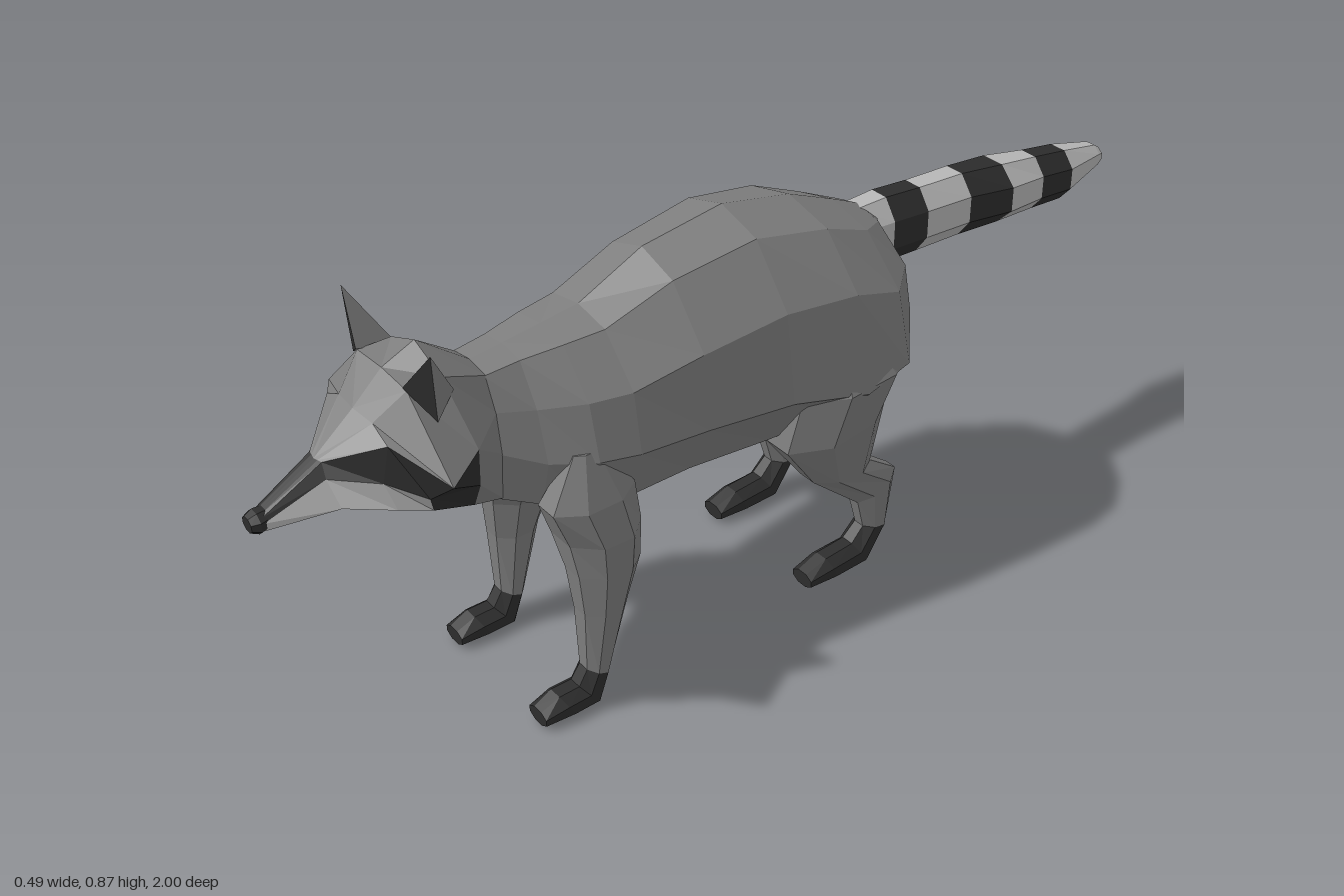
import * as THREE from 'three';

const GREY = 0x7e7e7e, DARK = 0x2d2d2d, LIGHT = 0xb8b8b8;
const material = (color) => new THREE.MeshStandardMaterial({ color, flatShading: true });

// Skins closed rings of [x, y, z] points, capped at both ends; one mesh per colour.
function loft(name, rings, colorAt = () => GREY) {
  const n = rings[0].length, last = rings.length - 1, tris = [];
  const centre = (ring) => [0, 1, 2].map((k) => ring.reduce((s, p) => s + p[k], 0) / n);
  for (let j = 0; j < n; j++) {
    const m = (j + 1) % n;
    const band = Math.min(j, n - 1 - j);
    for (let i = 0; i < last; i++) {
      const a = rings[i][j], b = rings[i][m], c = rings[i + 1][m], d = rings[i + 1][j];
      const color = colorAt(i, band);
      // mirrored diagonals keep both halves symmetrical
      if (j < n / 2) tris.push([color, a, b, c], [color, a, c, d]);
      else tris.push([color, a, b, d], [color, b, c, d]);
    }
    tris.push([colorAt(0, band), centre(rings[0]), rings[0][m], rings[0][j]]);
    tris.push([colorAt(last - 1, band), centre(rings[last]), rings[last][j], rings[last][m]]);
  }
  return solid(name, tris);
}

// Turns coloured triangles of a closed shape outward and builds the meshes.
function solid(name, tris) {
  const group = new THREE.Group();
  group.name = name;
  const v = (p) => new THREE.Vector3(...p);
  const volume = tris.reduce((s, [, a, b, c]) => s + v(a).dot(v(b).cross(v(c))), 0);
  const byColor = new Map();
  for (const [color, a, b, c] of tris) {
    if (!byColor.has(color)) byColor.set(color, []);
    byColor.get(color).push(...(volume > 0 ? [a, b, c] : [a, c, b]).flat());
  }
  const suffix = { [GREY]: 'Fur', [DARK]: 'DarkFur', [LIGHT]: 'LightFur' };
  for (const [color, positions] of byColor) {
    const geometry = new THREE.BufferGeometry();
    geometry.setAttribute('position', new THREE.Float32BufferAttribute(positions, 3));
    geometry.computeVertexNormals();
    const mesh = new THREE.Mesh(geometry, material(color));
    mesh.name = name + suffix[color];
    group.add(mesh);
  }
  return group;
}

// Full ring from a half outline that runs from top centre to bottom centre.
const mirrorRing = (half) =>
  [...half, ...half.slice(1, -1).reverse().map(([x, y, z]) => [-x, y, z])];

// Octagonal ring spanning two side-profile points, centred on cx with half width rx.
function ovalRing([fy, fz, by, bz, cx, rx], side = 1) {
  const ring = [];
  for (let i = 0; i < 8; i++) {
    const t = ((i + 0.5) / 8) * Math.PI * 2, k = 1 / Math.cos(Math.PI / 8);
    const c = (Math.cos(t) * k) / 2, s = Math.sin(t);
    ring.push([side * (cx + rx * s * 1.08),
      Math.max(0, (fy + by) / 2 + (fy - by) * c), (fz + bz) / 2 + (fz - bz) * c]);
  }
  return ring;
}

export function createModel() {
  const model = new THREE.Group();
  model.name = 'raccoon';

  // Trunk: z, then half outline of [x, y]
  const neck = [[0, 0.73], [0.05, 0.722], [0.075, 0.66], [0.085, 0.58], [0.075, 0.48], [0, 0.445]];
  const trunk = [
    [0.57, neck],
    [0.5, [[0, 0.737], [0.055, 0.728], [0.1, 0.65], [0.125, 0.55], [0.1, 0.45], [0, 0.41]]],
    [0.42, [[0, 0.746], [0.07, 0.735], [0.14, 0.65], [0.165, 0.54], [0.125, 0.42], [0, 0.385]]],
    [0.34, [[0, 0.755], [0.08, 0.74], [0.16, 0.65], [0.178, 0.53], [0.13, 0.41], [0, 0.37]]],
    [0.2, [[0, 0.82], [0.09, 0.79], [0.178, 0.68], [0.195, 0.53], [0.13, 0.41], [0, 0.382]]],
    [0.02, [[0, 0.845], [0.1, 0.815], [0.19, 0.7], [0.215, 0.52], [0.14, 0.4], [0, 0.37]]],
    [-0.14, [[0, 0.812], [0.11, 0.785], [0.2, 0.685], [0.243, 0.49], [0.15, 0.4], [0, 0.385]]],
    [-0.25, [[0, 0.765], [0.1, 0.74], [0.195, 0.65], [0.232, 0.51], [0.14, 0.4], [0, 0.43]]],
    [-0.315, [[0, 0.735], [0.06, 0.72], [0.14, 0.66], [0.16, 0.57], [0.09, 0.5], [0, 0.49]]],
    [-0.335, [[0, 0.72], [0.035, 0.71], [0.055, 0.66], [0.06, 0.6], [0.04, 0.56], [0, 0.55]]],
  ];
  model.add(loft('body', trunk.map(([z, half]) => mirrorRing(half.map(([x, y]) => [x, y, z])))));

  // Head: crown, temple, brow, mask edge, muzzle edge, chin; from nose to neck
  const head = [
    [[0, 0.6, 0.98], [0.008, 0.6, 0.98], [0.015, 0.598, 0.98], [0.02, 0.59, 0.98], [0.02, 0.575, 0.98], [0, 0.567, 0.975]],
    [[0, 0.66, 0.87], [0.01, 0.661, 0.868], [0.02, 0.661, 0.866], [0.037, 0.638, 0.87], [0.06, 0.587, 0.86], [0, 0.558, 0.85]],
    [[0, 0.725, 0.79], [0.055, 0.722, 0.785], [0.1, 0.7, 0.785], [0.1, 0.633, 0.8], [0.11, 0.578, 0.785], [0, 0.548, 0.78]],
    [[0, 0.78, 0.73], [0.08, 0.775, 0.73], [0.205, 0.652, 0.73], [0.15, 0.605, 0.745], [0.14, 0.572, 0.735], [0, 0.525, 0.72]],
    [[0, 0.808, 0.665], [0.08, 0.775, 0.665], [0.155, 0.665, 0.65], [0.15, 0.59, 0.65], [0.125, 0.535, 0.65], [0, 0.485, 0.64]],
    neck.map(([x, y]) => [x, y, 0.565]),
  ];
  model.add(loft('head', head.map(mirrorRing), (i, band) => {
    if (band === 2) return i < 4 ? DARK : GREY;
    if (band === 3) return i < 3 ? LIGHT : i === 3 ? DARK : GREY;
    return i === 0 && band < 2 ? DARK : GREY;
  }));

  // Nose
  model.add(loft('nose', [
    [0.606, 0.965, 0.57, 0.965, 0, 0.02],
    [0.606, 0.985, 0.565, 0.985, 0, 0.023],
    [0.6, 1, 0.572, 1, 0, 0.016],
  ].map((r) => ovalRing(r)), () => DARK));

  // Tail: stations with rings of alternating colour
  const tail = [
    [0.735, -0.29, 0.6, -0.3, 0, 0.045],
    [0.737, -0.37, 0.592, -0.37, 0, 0.05],
    [0.729, -0.46, 0.588, -0.46, 0, 0.05],
    [0.723, -0.575, 0.585, -0.575, 0, 0.053],
    [0.71, -0.685, 0.58, -0.685, 0, 0.064],
    [0.692, -0.79, 0.572, -0.79, 0, 0.049],
    [0.678, -0.88, 0.566, -0.88, 0, 0.047],
    [0.655, -0.985, 0.6, -0.985, 0, 0.027],
    [0.645, -1, 0.612, -1, 0, 0.022],
  ];
  model.add(loft('tail', tail.map((r) => ovalRing(r)), (i) => (i % 2 && i < 6 ? DARK : LIGHT)));

  // Legs: front y z, back y z, centre x, half width; the last three spans are the paw
  const frontLeg = [
    [0.56, 0.46, 0.56, 0.4, 0.135, 0.02],
    [0.46, 0.515, 0.46, 0.34, 0.13, 0.058],
    [0.38, 0.485, 0.375, 0.33, 0.125, 0.073],
    [0.31, 0.475, 0.3, 0.34, 0.141, 0.054],
    [0.22, 0.468, 0.22, 0.372, 0.147, 0.043],
    [0.085, 0.465, 0.065, 0.415, 0.145, 0.03],
    [0.055, 0.485, 0, 0.44, 0.145, 0.033],
    [0.055, 0.53, 0, 0.5, 0.145, 0.034],
    [0.038, 0.57, 0.006, 0.57, 0.145, 0.028],
  ];
  const hindLeg = [
    [0.6, -0.1, 0.6, -0.2, 0.14, 0.05],
    [0.49, -0.02, 0.51, -0.29, 0.155, 0.085],
    [0.375, 0, 0.41, -0.25, 0.14, 0.084],
    [0.27, -0.075, 0.26, -0.222, 0.147, 0.047],
    [0.16, -0.2, 0.205, -0.298, 0.147, 0.033],
    [0.09, -0.22, 0.08, -0.283, 0.145, 0.029],
    [0.06, -0.19, 0, -0.225, 0.145, 0.033],
    [0.055, -0.12, 0, -0.14, 0.145, 0.034],
    [0.038, -0.07, 0.006, -0.07, 0.145, 0.028],
  ];
  for (const [word, side] of [['left', 1], ['right', -1]]) {
    for (const [part, rows] of [['FrontLeg', frontLeg], ['HindLeg', hindLeg]]) {
      model.add(loft(word + part, rows.map((r) => ovalRing(r, side)),
        (i) => (i >= rows.length - 4 ? DARK : GREY)));
    }
    // Ear: pyramid with a dark front
    const [inner, outer, back, tip] = [[0.075, 0.78, 0.735], [0.137, 0.735, 0.71], [0.09, 0.75, 0.65], [0.142, 0.865, 0.715]]
      .map(([x, y, z]) => [side * x, y, z]);
    model.add(solid(word + 'Ear', [
      [DARK, inner, outer, tip], [GREY, outer, back, tip],
      [GREY, back, inner, tip], [GREY, inner, back, outer],
    ]));
  }
  return model;
}
